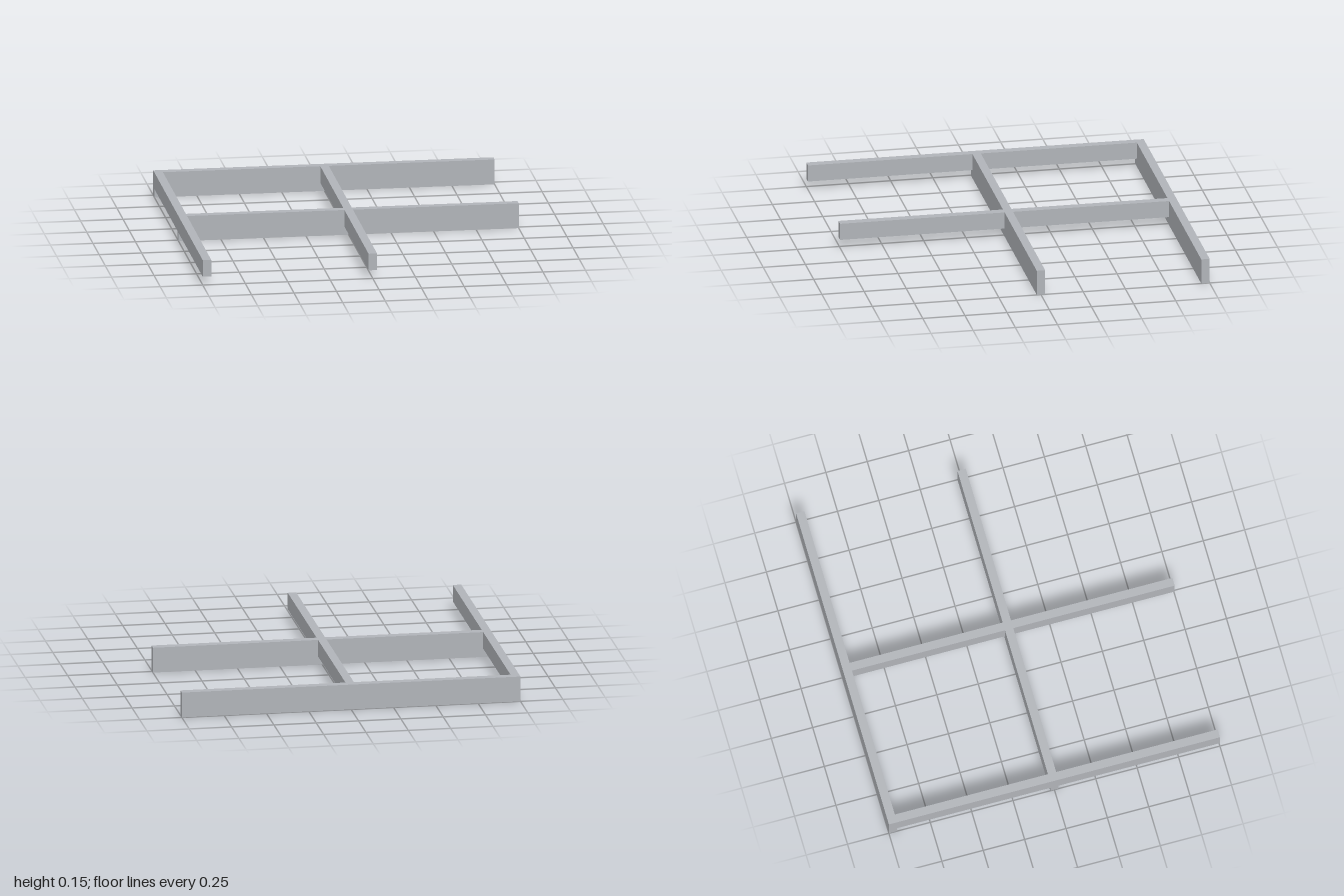
import * as THREE from 'three';

const TOP = 0.15;    // shared top level of all beams
const WIDTH = 0.05;  // beam thickness

export function createModel() {
  const group = new THREE.Group();
  group.name = 'beamFrame';
  const steel = new THREE.MeshStandardMaterial({ color: 0xb0b3b8 });
  steel.name = 'greySteel';

  // Box beam given by its extents, hung from the top level
  function beam(name, x0, x1, z0, z1, depth) {
    const mesh = new THREE.Mesh(new THREE.BoxGeometry(x1 - x0, depth, z1 - z0), steel);
    mesh.position.set((x0 + x1) / 2, TOP - depth / 2, (z0 + z1) / 2);
    mesh.name = name;
    group.add(mesh);
  }

  // Deep main beams running left to right
  for (const [name, z] of [['backMainBeam', -0.975], ['middleMainBeam', 0]]) {
    beam(name, -1, 1, z - WIDTH / 2, z + WIDTH / 2, 0.15);
  }

  // Shallower cross beams running back to front, butted between the main beams
  for (const [name, x] of [['rightCrossBeam', -0.975], ['middleCrossBeam', 0]]) {
    beam(name + 'Back', x - WIDTH / 2, x + WIDTH / 2, -0.95, -0.025, 0.1);
    beam(name + 'Front', x - WIDTH / 2, x + WIDTH / 2, 0.025, 1, 0.1);
  }

  return group;
}
